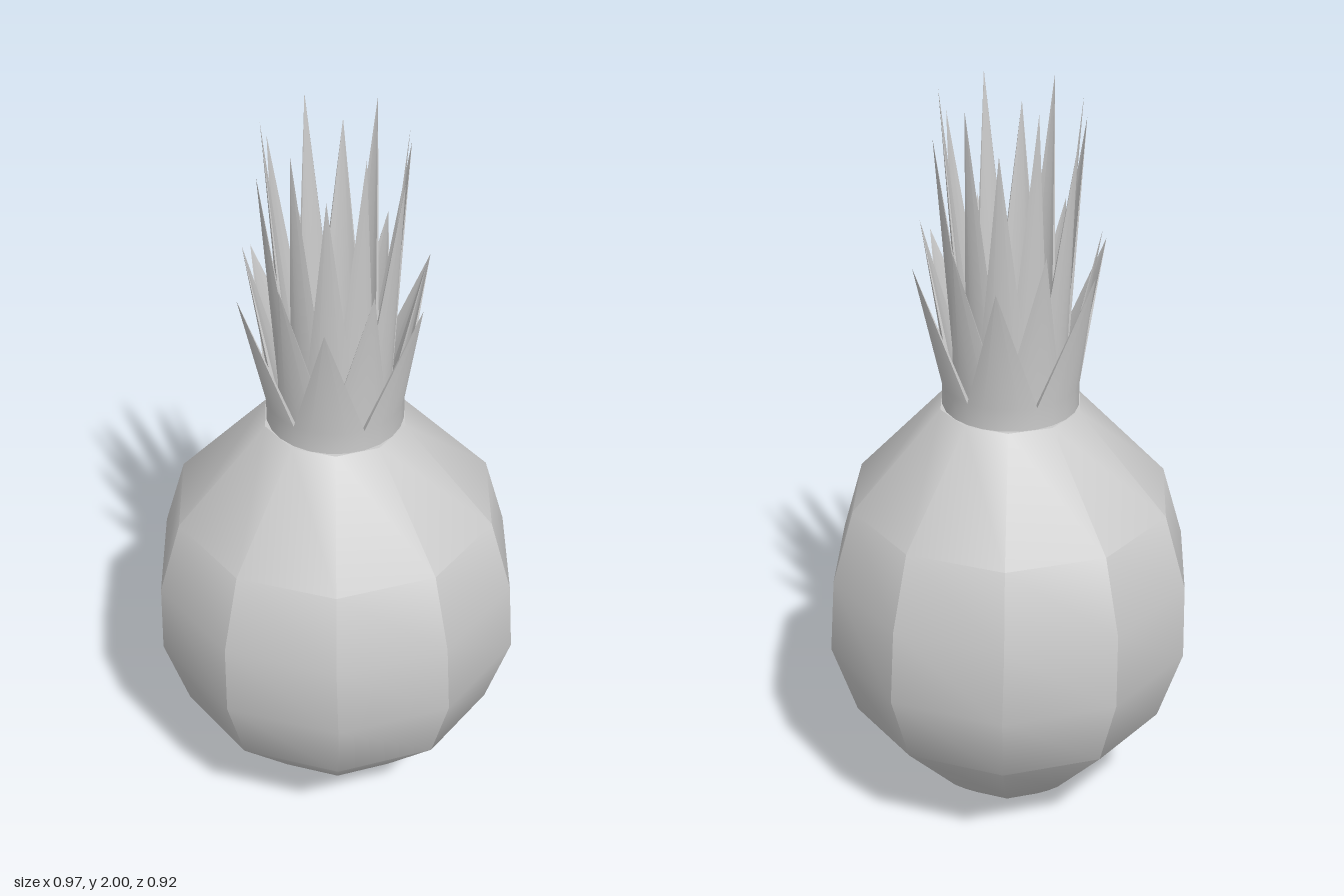
import * as THREE from 'three';
import { mergeGeometries, toCreasedNormals } from 'three/addons/utils/BufferGeometryUtils.js';

const CREASE = THREE.MathUtils.degToRad(32);
const LEAVES = 6;
const BASE_Y = 1.17;
const VALLEY_Y = 1.24;
const THICKNESS = 0.01;

// One leaf: a curved strip with thickness, rising from a base arc to a point along +x
function leafGeometry(radius, tipRadius, tipY) {
  const steps = 4;
  const half = Math.PI / LEAVES;
  const loop = [];
  for (let i = 0; i <= steps; i++) loop.push([radius, half - (2 * half * i) / steps]);
  for (let i = steps; i >= 0; i--) loop.push([radius - THICKNESS, half - (2 * half * i) / steps]);

  const n = loop.length;
  const positions = [];
  for (const y of [BASE_Y, VALLEY_Y]) {
    for (const [r, a] of loop) positions.push(r * Math.cos(a), y, r * Math.sin(a));
  }
  positions.push(tipRadius, tipY, 0);

  const index = [];
  for (let i = 0; i < n; i++) {
    const j = (i + 1) % n;
    index.push(i, n + j, j, i, n + i, n + j); // collar below the notches
    index.push(n + i, 2 * n, n + j); // blade up to the tip
  }
  const geometry = new THREE.BufferGeometry();
  geometry.setAttribute('position', new THREE.Float32BufferAttribute(positions, 3));
  geometry.setIndex(index);
  return geometry;
}

// A ring of leaves joined at the base
function leafRing(radius, tipRadius, tipY, turn) {
  const leaves = [];
  for (let i = 0; i < LEAVES; i++) {
    leaves.push(leafGeometry(radius, tipRadius, tipY).rotateY(turn + (i * 2 * Math.PI) / LEAVES));
  }
  return toCreasedNormals(mergeGeometries(leaves), CREASE);
}

export function createModel() {
  const model = new THREE.Group();
  model.name = 'pineapple';
  const material = new THREE.MeshStandardMaterial({ color: 0xcccccc, side: THREE.DoubleSide });

  // Ten-sided fruit, creased between its sides and smooth along its height
  const profile = [
    [0, 0], [0.08, 0], [0.14, 0.04], [0.19, 0.08], [0.235, 0.12],
    [0.42, 0.32], [0.485, 0.52], [0.477, 0.72], [0.42, 0.92], [0.185, 1.18], [0, 1.18],
  ].map(([r, y]) => new THREE.Vector2(r, y));
  const fruitGeometry = new THREE.LatheGeometry(profile, 10, Math.PI / 2);

  // The upper half leans very slightly to one side
  const p = fruitGeometry.attributes.position;
  for (let i = 0; i < p.count; i++) {
    if (p.getY(i) > 0.6) p.setX(i, p.getX(i) - 0.008);
  }
  const fruit = new THREE.Mesh(toCreasedNormals(fruitGeometry, CREASE), material);
  fruit.name = 'fruit';
  model.add(fruit);

  // Four nested rings of leaves, alternately turned, taller towards the middle
  const crown = new THREE.Group();
  crown.name = 'crown';
  crown.position.x = -0.008;
  const rings = [
    ['innerLeaves', 0.122, 0.175, 2.0],
    ['middleLeaves', 0.14, 0.2, 1.91],
    ['lowerLeaves', 0.157, 0.226, 1.66],
    ['outerLeaves', 0.175, 0.258, 1.585],
  ];
  rings.forEach(([name, radius, tipRadius, tipY], i) => {
    const ring = new THREE.Mesh(leafRing(radius, tipRadius, tipY, (i % 2) * (Math.PI / LEAVES)), material);
    ring.name = name;
    crown.add(ring);
  });
  model.add(crown);

  return model;
}
